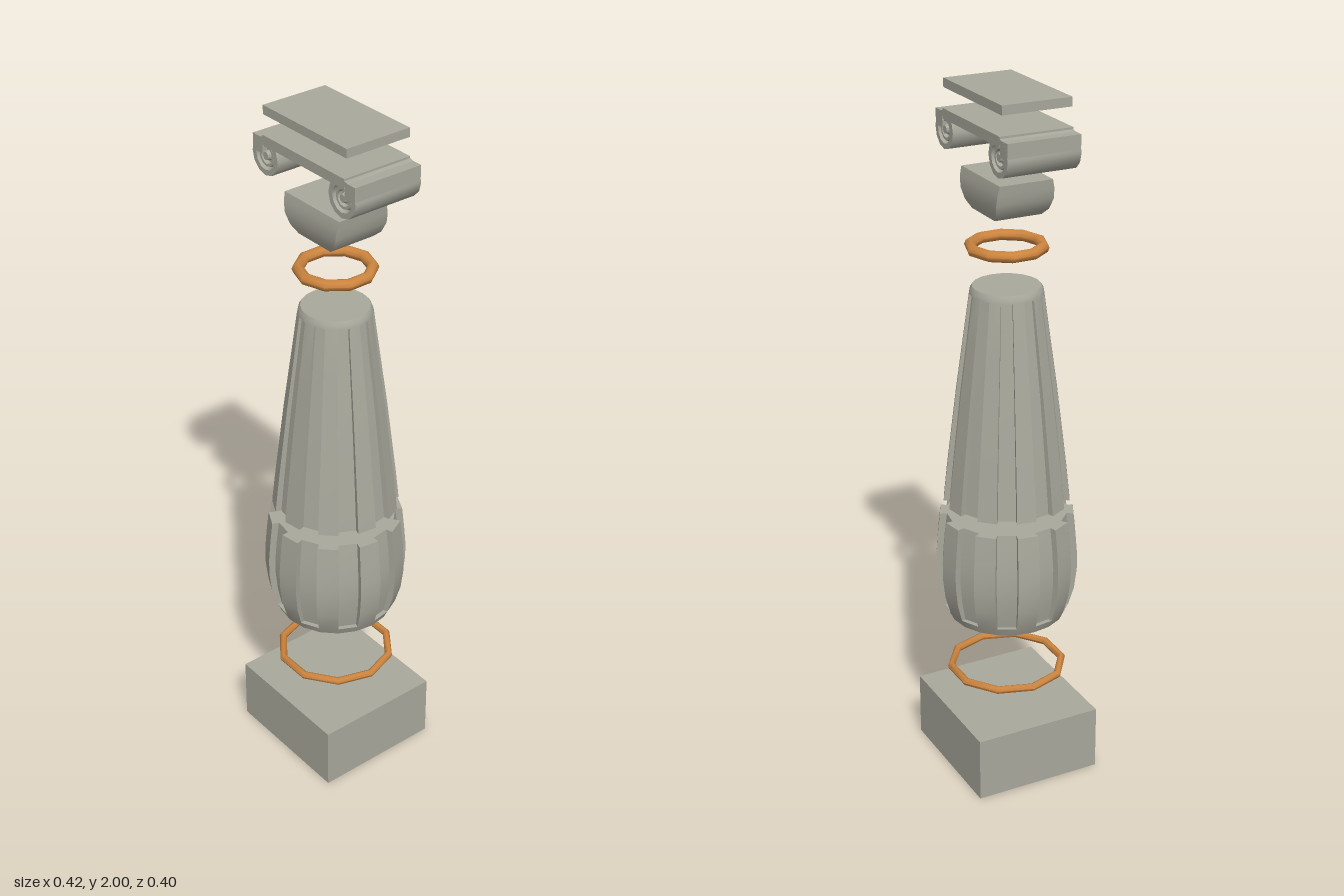
import * as THREE from 'three';
import { toCreasedNormals } from 'three/addons/utils/BufferGeometryUtils.js';

// Skin a stack of equal-length point loops, with optional flat end caps
function loft(rows, capTop, capBottom) {
  const n = rows[0].length, pos = [], idx = [];
  rows.forEach(row => row.forEach(p => pos.push(...p)));
  for (let r = 0; r < rows.length - 1; r++) {
    for (let i = 0; i < n; i++) {
      const j = (i + 1) % n, a = r * n + i, b = r * n + j;
      idx.push(a, b, b + n, a, b + n, a + n);
    }
  }
  const cap = (r, up) => {
    const c = pos.length / 3;
    pos.push(0, rows[r][0][1], 0);
    for (let i = 0; i < n; i++) {
      const a = r * n + i, b = r * n + (i + 1) % n;
      idx.push(c, up ? a : b, up ? b : a);
    }
  };
  if (capTop) cap(rows.length - 1, true);
  if (capBottom) cap(0, false);
  const g = new THREE.BufferGeometry();
  g.setAttribute('position', new THREE.Float32BufferAttribute(pos, 3));
  g.setIndex(idx);
  return toCreasedNormals(g, 0.5);
}

// Ring of ten raised ribs and ten sunken flutes
function flutedRing([y, rib, gap]) {
  const pts = [];
  for (let k = 0; k < 20; k++) {
    const r = k % 2 ? gap : rib;
    for (const e of [0, 1]) {
      const a = (90 + 18 * (k + e)) * Math.PI / 180;
      pts.push([r * Math.cos(a), y, -r * Math.sin(a)]);
    }
  }
  return pts;
}

const rectRing = ([y, x, z]) => [[x, y, z], [x, y, -z], [-x, y, -z], [-x, y, z]];

export function createModel() {
  const stone = new THREE.MeshStandardMaterial({ color: 0xa9a89c, side: THREE.DoubleSide });
  stone.name = 'stone';
  const copper = new THREE.MeshStandardMaterial({ color: 0xcd853f });
  copper.name = 'copper';

  const model = new THREE.Group();
  model.name = 'explodedColumn';
  const add = (name, geometry, material = stone, parent = model) => {
    const m = new THREE.Mesh(geometry, material);
    m.name = name;
    parent.add(m);
    return m;
  };

  // Hollow plinth, open underneath
  add('plinth', loft([[0, 0.202, 0.189], [0.19, 0.202, 0.189]].map(rectRing), true, false));

  // Ten-sided rings
  const ring = (name, y, R, r, turn) => {
    const g = new THREE.TorusGeometry(R, r, 8, 10);
    g.rotateX(Math.PI / 2).rotateY(turn);
    add(name, toCreasedNormals(g, 0.9), copper).position.y = y;
  };
  ring('lowerRing', 0.298, 0.163, 0.011, 0);
  ring('upperRing', 1.574, 0.099, 0.016, Math.PI / 2);

  // Swelling fluted foot of the shaft, open underneath: [y, rib radius, flute radius]
  add('lowerShaft', loft([
    [0.48, 0.167, 0.167], [0.505, 0.179, 0.179], [0.505, 0.179, 0.166],
    [0.56, 0.195, 0.177], [0.62, 0.202, 0.183], [0.67, 0.202, 0.183],
    [0.73, 0.197, 0.178], [0.795, 0.19, 0.17],
  ].map(flutedRing), true, false));

  // Tapered fluted shaft
  add('upperShaft', loft([
    [0.835, 0.179, 0.162], [0.92, 0.17, 0.154], [1.02, 0.158, 0.144],
    [1.16, 0.141, 0.129], [1.32, 0.119, 0.109], [1.445, 0.102, 0.094],
    [1.445, 0.102, 0.102], [1.455, 0.1, 0.1], [1.465, 0.094, 0.094],
  ].map(flutedRing), true, true));

  // Boat-shaped neck, open underneath
  add('neck', loft([
    [1.67, 0.066, 0.069], [1.69, 0.09, 0.078], [1.72, 0.104, 0.084],
    [1.75, 0.109, 0.083], [1.775, 0.112, 0.077],
  ].map(rectRing), true, false));

  // Scrolled capital: a flat band between two rolled ends
  const capital = new THREE.Group();
  capital.name = 'capital';
  model.add(capital);
  add('capitalBand', new THREE.BoxGeometry(0.33, 0.028, 0.21), stone, capital).position.y = 1.907;
  const profile = [
    [0, 0.103], [0.011, 0.103], [0.014, 0.09], [0.02, 0.09], [0.023, 0.1],
    [0.03, 0.1], [0.033, 0.092], [0.038, 0.105], [0.053, 0.105],
  ];
  const rollPoints = [
    ...profile.map(([r, z]) => new THREE.Vector2(r, -z)),
    ...profile.slice().reverse().map(([r, z]) => new THREE.Vector2(r, z)),
  ];
  for (const side of [-1, 1]) {
    const g = new THREE.LatheGeometry(rollPoints, 12);
    g.rotateX(Math.PI / 2);
    const roll = add(side > 0 ? 'leftScroll' : 'rightScroll', toCreasedNormals(g, 0.6), stone, capital);
    roll.position.set(side * 0.156, 1.865, 0);
    // Squared shoulder where the band turns down into the roll
    const shoulder = add('scrollShoulder', new THREE.BoxGeometry(0.04, 0.045, 0.21), stone, capital);
    shoulder.position.set(side * 0.187, 1.89, 0);
    shoulder.scale.z = 0.998;
  }

  // Top slab
  add('topSlab', new THREE.BoxGeometry(0.336, 0.025, 0.2)).position.y = 1.9875;

  return model;
}
